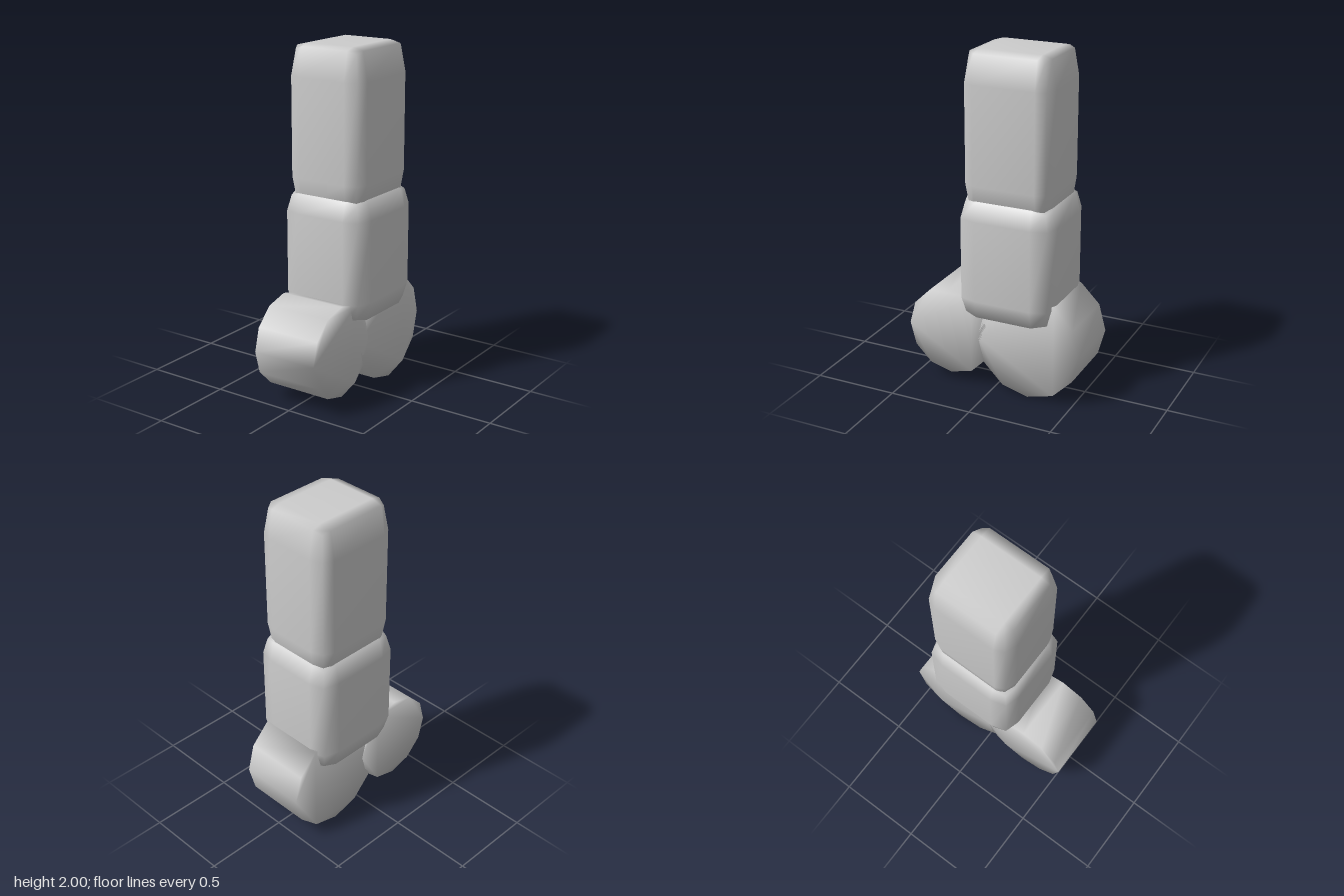
import * as THREE from 'three';
import { mergeVertices } from 'three/addons/utils/BufferGeometryUtils.js';

// Weld all corners so the shading runs smoothly over every edge
function smooth(geometry) {
  geometry.deleteAttribute('normal');
  geometry.deleteAttribute('uv');
  geometry.clearGroups();
  const welded = mergeVertices(geometry, 1e-4);
  welded.computeVertexNormals();
  return welded;
}

// Box of 3x3x3 cells: inner loops at `inner`, edges and corners pulled inwards
function softBlock(half, inner) {
  const g = new THREE.BoxGeometry(2, 2, 2, 3, 3, 3);
  const p = g.attributes.position;
  const pull = [0, 0, 0.026, 0.045];
  const pullY = [0, 0, 0.017, 0.035];
  for (let i = 0; i < p.count; i++) {
    const v = [p.getX(i), p.getY(i), p.getZ(i)];
    const outer = v.map((c) => Math.abs(c) > 0.9);
    const n = outer.filter(Boolean).length;
    const q = v.map((c, a) => {
      const d = (a === 1 ? pullY : pull)[n];
      return Math.sign(c) * (outer[a] ? half[a] - d : inner[a]);
    });
    p.setXYZ(i, ...q);
  }
  return smooth(g);
}

// Twelve-sided drum lying along x
function drum(radius, width) {
  const points = [];
  for (let i = 0; i < 12; i++) {
    const a = (i / 12) * Math.PI * 2;
    points.push(new THREE.Vector2(Math.cos(a) * radius, Math.sin(a) * radius));
  }
  const g = new THREE.ExtrudeGeometry(new THREE.Shape(points), { depth: width, bevelEnabled: false, steps: 1 });
  g.translate(0, 0, -width / 2);
  g.rotateY(Math.PI / 2);
  return smooth(g);
}

export function createModel() {
  const group = new THREE.Group();
  const grey = new THREE.MeshStandardMaterial({ color: 0xcccccc });
  grey.name = 'light grey';

  const add = (name, geometry, y, z) => {
    const mesh = new THREE.Mesh(geometry, grey);
    mesh.name = name;
    mesh.position.set(0, y, z);
    group.add(mesh);
  };

  // Stacked blocks
  add('upperBlock', softBlock([0.245, 0.465, 0.268], [0.15, 0.285, 0.185]), 1.535, -0.09);
  add('lowerBlock', softBlock([0.268, 0.365, 0.29], [0.155, 0.24, 0.17]), 0.81, -0.09);

  // Drums at the foot
  add('frontDrum', drum(0.27, 0.4), 0.32, 0.27);
  add('rearDrum', drum(0.317, 0.4), 0.317, -0.223);

  return group;
}
